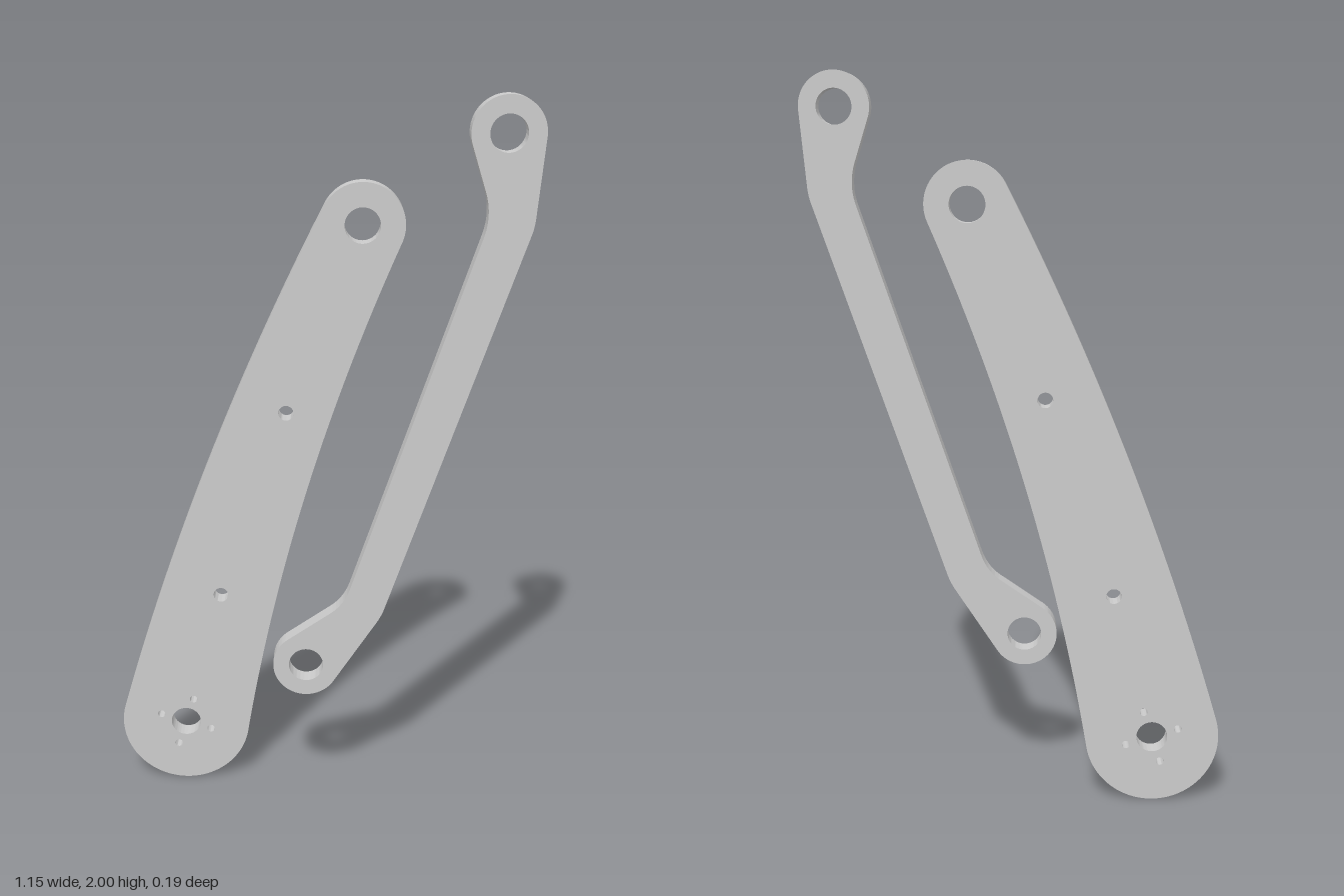
import * as THREE from 'three';
import { toCreasedNormals } from 'three/addons/utils/BufferGeometryUtils.js';

const rad = THREE.MathUtils.degToRad;
const THICKNESS = 0.053;

// Plate cut from an outline with round holes given as [x, y, radius]
function plate(name, shape, holes, zBack, material) {
  for (const [x, y, r] of holes) {
    shape.holes.push(new THREE.Path().absarc(x, y, r, 0, Math.PI * 2, true));
  }
  const geometry = new THREE.ExtrudeGeometry(shape, {
    depth: THICKNESS, bevelEnabled: false, curveSegments: 40,
  });
  const mesh = new THREE.Mesh(toCreasedNormals(geometry, rad(30)), material);
  mesh.name = name;
  mesh.position.z = zBack;
  return mesh;
}

// Shallow curve that leaves the current point and bows sideways to (x, y)
function bowTo(shape, x, y, sag) {
  const a = shape.currentPoint.clone();
  const b = new THREE.Vector2(x, y);
  const d = b.clone().sub(a).normalize();
  const c = a.clone().add(b).multiplyScalar(0.5).add(new THREE.Vector2(-d.y, d.x).multiplyScalar(2 * sag));
  shape.quadraticCurveTo(c.x, c.y, x, y);
}

const onCircle = ([x, y, r], deg) => [x + r * Math.cos(rad(deg)), y + r * Math.sin(rad(deg))];

// Wide curved arm behind
function createArm(material) {
  const low = [-0.391, 0.185, 0.185];
  const high = [0.116, 1.652, 0.114];
  const shape = new THREE.Shape();
  shape.absarc(...low, rad(164), rad(350.5), false);
  bowTo(shape, ...onCircle(high, -24), 0.046);
  shape.absarc(...high, rad(-24), rad(153), false);
  bowTo(shape, ...onCircle(low, 164), -0.037);

  const holes = [
    [low[0], low[1], 0.043],
    [high[0], high[1], 0.048],
    [-0.28, 0.592, 0.021],
    [-0.09, 1.136, 0.021],
  ];
  // Four small bolt holes around the lower pivot
  for (let i = 0; i < 4; i++) {
    holes.push([...onCircle([low[0], low[1], 0.076], 72 + i * 90), 0.011]);
  }
  return plate('curvedArm', shape, holes, -0.095, material);
}

// Slim cranked link in front
function createLink(material) {
  const low = [-0.034, 0.439, 0.092];
  const high = [0.476, 1.905, 0.095];
  const shape = new THREE.Shape();
  shape.absarc(...low, rad(124), rad(327), false);
  shape.lineTo(0.163, 0.57);
  shape.quadraticCurveTo(0.177, 0.592, 0.185, 0.616);
  shape.lineTo(0.543, 1.65);
  shape.quadraticCurveTo(0.55, 1.67, 0.552, 1.692);
  shape.absarc(...high, rad(-5), rad(197), false);
  shape.lineTo(0.424, 1.755);
  shape.quadraticCurveTo(0.44, 1.7, 0.422, 1.645);
  shape.lineTo(0.088, 0.67);
  shape.quadraticCurveTo(0.071, 0.622, 0.034, 0.597);
  shape.lineTo(...onCircle(low, 124));

  const holes = [[low[0], low[1], 0.048], [high[0], high[1], 0.048]];
  return plate('crankedLink', shape, holes, 0.04, material);
}

export function createModel() {
  const material = new THREE.MeshStandardMaterial({ color: 0xcccccc });
  const model = new THREE.Group();
  model.name = 'linkage';
  model.add(createArm(material), createLink(material));
  return model;
}
